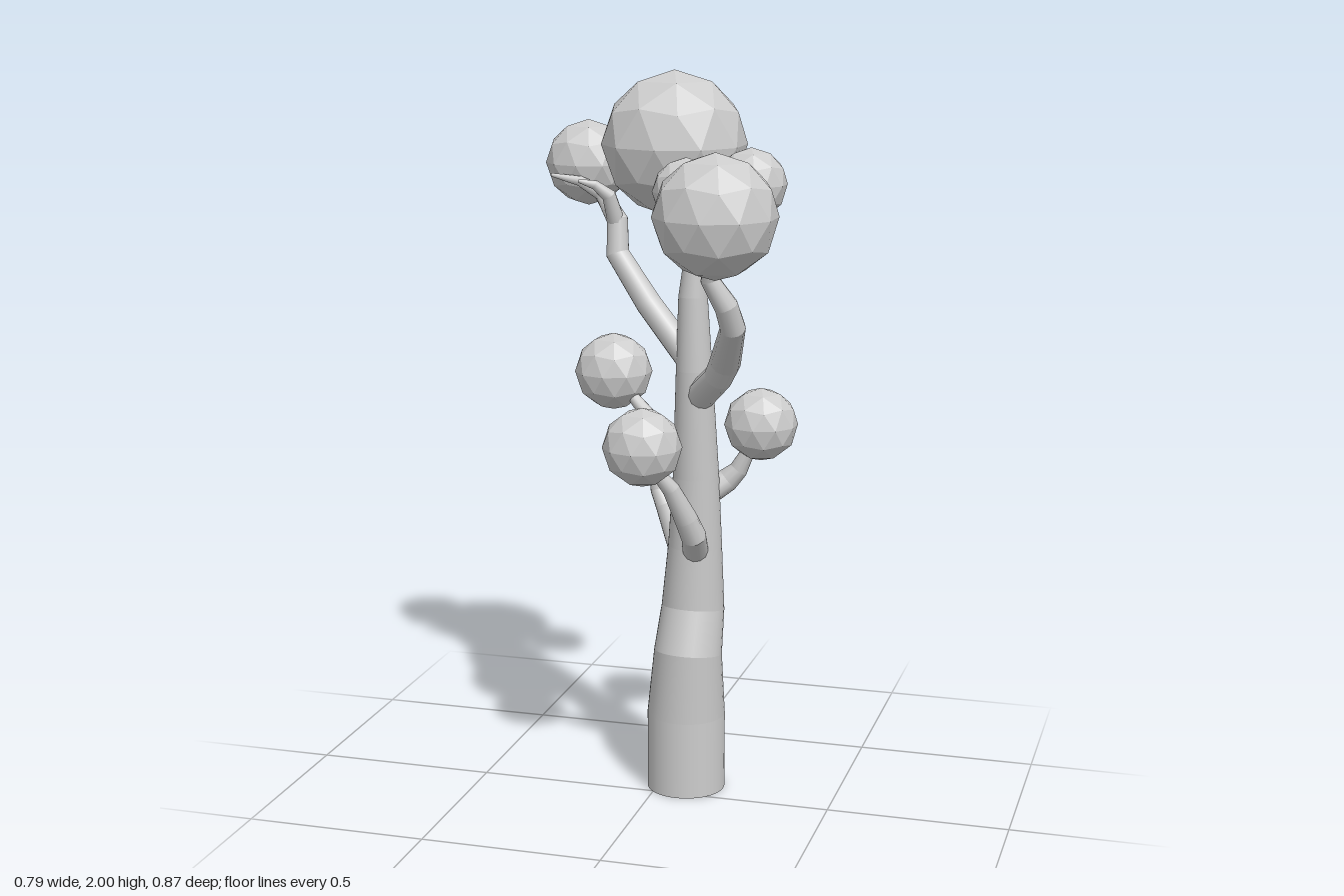
import * as THREE from 'three';

const bark = new THREE.MeshStandardMaterial({ color: 0xcccccc });
bark.name = 'plain grey';
const foliageGrey = bark.clone();
foliageGrey.name = 'faceted grey';
foliageGrey.flatShading = true;

// Tapered limb through points [x, y, z, radius]; each section keeps its own crease.
function limb(name, pts, sides = 12) {
  const P = pts.map(p => new THREE.Vector3(p[0], p[1], p[2]));
  const dirs = P.slice(1).map((p, i) => p.clone().sub(P[i]).normalize());
  const ref = new THREE.Vector3(1, 0, 0);
  const rings = P.map((p, i) => {
    const t = new THREE.Vector3();
    if (i > 0) t.add(dirs[i - 1]);
    if (i < dirs.length) t.add(dirs[i]);
    t.normalize();
    const u = ref.clone().addScaledVector(t, -ref.dot(t)).normalize();
    ref.copy(u);
    const v = new THREE.Vector3().crossVectors(u, t);
    const ring = [];
    for (let k = 0; k < sides; k++) {
      const a = k / sides * Math.PI * 2;
      const n = u.clone().multiplyScalar(Math.cos(a)).addScaledVector(v, Math.sin(a));
      ring.push({ n, p: p.clone().addScaledVector(n, pts[i][3]) });
    }
    return { ring, t, c: p };
  });
  const pos = [], nor = [], idx = [];
  const add = (p, n) => { pos.push(p.x, p.y, p.z); nor.push(n.x, n.y, n.z); return pos.length / 3 - 1; };
  // Side walls
  for (let i = 0; i < dirs.length; i++) {
    const base = pos.length / 3;
    for (const r of [rings[i], rings[i + 1]])
      for (const q of r.ring)
        add(q.p, q.n.clone().addScaledVector(dirs[i], -q.n.dot(dirs[i])).normalize());
    for (let k = 0; k < sides; k++) {
      const a = base + k, b = base + (k + 1) % sides;
      idx.push(a, a + sides, b, b, a + sides, b + sides);
    }
  }
  // End caps
  for (const [r, s] of [[rings[0], -1], [rings[rings.length - 1], 1]]) {
    const n = r.t.clone().multiplyScalar(s);
    const c = add(r.c, n);
    r.ring.forEach(q => add(q.p, n));
    for (let k = 0; k < sides; k++) {
      const a = c + 1 + k, b = c + 1 + (k + 1) % sides;
      if (s < 0) idx.push(c, a, b); else idx.push(c, b, a);
    }
  }
  const g = new THREE.BufferGeometry();
  g.setAttribute('position', new THREE.Float32BufferAttribute(pos, 3));
  g.setAttribute('normal', new THREE.Float32BufferAttribute(nor, 3));
  g.setIndex(idx);
  const m = new THREE.Mesh(g, bark);
  m.name = name;
  return m;
}

export function createModel() {
  const tree = new THREE.Group();
  tree.name = 'tree';

  tree.add(limb('trunk', [
    [0.075, 0, -0.075, 0.109], [0.075, 0.22, -0.075, 0.109], [0.081, 0.40, -0.07, 0.095],
    [0.085, 0.52, -0.107, 0.088], [0.09, 0.7, -0.108, 0.075], [0.093, 0.9, -0.103, 0.064],
    [0.09, 1.2, -0.09, 0.05], [0.086, 1.4, -0.09, 0.04], [0.09, 1.58, -0.103, 0.022],
    [0.092, 1.66, -0.11, 0.01]], 32));

  // Upper front branch and its side twig
  tree.add(limb('upperFrontBranch', [
    [0.09, 1.11, -0.1, 0.042], [0.185, 1.205, 0.01, 0.04], [0.21, 1.25, 0.04, 0.042],
    [0.265, 1.37, 0.18, 0.034], [0.255, 1.43, 0.21, 0.032], [0.215, 1.5, 0.225, 0.025],
    [0.225, 1.58, 0.25, 0.015]]));
  tree.add(limb('upperFrontTwig', [
    [0.24, 1.44, 0.205, 0.024], [0.2, 1.53, 0.185, 0.018], [0.15, 1.66, 0.165, 0.01]]));

  // Upper left-hand reach with splayed twigs
  tree.add(limb('upperBackBranch', [
    [0.08, 1.22, -0.095, 0.038], [-0.05, 1.37, -0.125, 0.036], [-0.145, 1.5, -0.15, 0.033],
    [-0.15, 1.59, -0.165, 0.03], [-0.2, 1.66, -0.185, 0.022], [-0.27, 1.69, -0.2, 0.014],
    [-0.35, 1.705, -0.195, 0.005]]));
  tree.add(limb('upperBackTwig', [
    [-0.15, 1.58, -0.16, 0.025], [-0.165, 1.66, -0.135, 0.02], [-0.2, 1.69, -0.12, 0.013],
    [-0.245, 1.70, -0.115, 0.005]]));
  tree.add(limb('upperBackCrownTwig', [
    [-0.18, 1.63, -0.175, 0.022], [-0.23, 1.67, -0.225, 0.016], [-0.26, 1.7, -0.28, 0.01]]));

  // Fine twigs at the trunk tip
  tree.add(limb('tipTwigSide', [
    [0.09, 1.55, -0.1, 0.014], [0.14, 1.56, -0.115, 0.012], [0.19, 1.6, -0.125, 0.01],
    [0.22, 1.68, -0.13, 0.007]], 8));
  tree.add(limb('tipTwigCrown', [
    [0.09, 1.55, -0.1, 0.014], [0.03, 1.6, -0.13, 0.011], [-0.02, 1.64, -0.16, 0.006]], 8));

  // Lower branches
  tree.add(limb('lowerBackBranch', [
    [0.08, 0.9, -0.11, 0.034], [0.0, 0.97, -0.17, 0.028], [-0.07, 1.03, -0.21, 0.022],
    [-0.15, 1.1, -0.25, 0.014]]));
  tree.add(limb('lowerSideBranch', [
    [0.1, 0.83, -0.115, 0.036], [0.17, 0.88, -0.152, 0.033], [0.2, 0.91, -0.16, 0.026],
    [0.245, 1.0, -0.165, 0.014]]));
  tree.add(limb('lowerFrontBranch', [
    [0.1, 0.68, -0.08, 0.037], [0.12, 0.76, 0.02, 0.035], [0.105, 0.81, 0.04, 0.032],
    [0.07, 0.9, 0.07, 0.024], [0.02, 0.97, 0.095, 0.014]]));
  tree.add(limb('bareBranch', [
    [0.05, 0.6, -0.15, 0.026], [0.005, 0.7, -0.192, 0.028], [-0.025, 0.78, -0.205, 0.027],
    [-0.05, 0.82, -0.222, 0.022], [-0.06, 0.865, -0.225, 0.018], [-0.108, 0.915, -0.238, 0.004]]));

  // Faceted leaf balls, one vertex pointing up
  const ball = new THREE.IcosahedronGeometry(1, 1);
  ball.rotateZ(-Math.atan(2 / (1 + Math.sqrt(5))));
  const balls = [
    [0.005, 1.8, -0.19, 0.2], [0.24, 1.667, 0.27, 0.162], [-0.28, 1.73, -0.315, 0.12],
    [0.235, 1.705, -0.13, 0.098], [0.135, 1.715, 0.165, 0.088], [0.26, 1.04, -0.17, 0.102],
    [0.0, 1.02, 0.107, 0.108], [-0.195, 1.145, -0.27, 0.11]];
  balls.forEach(([x, y, z, r], i) => {
    const m = new THREE.Mesh(ball, foliageGrey);
    m.name = 'leafBall' + (i + 1);
    m.position.set(x, y, z);
    m.scale.setScalar(r);
    tree.add(m);
  });
  return tree;
}
